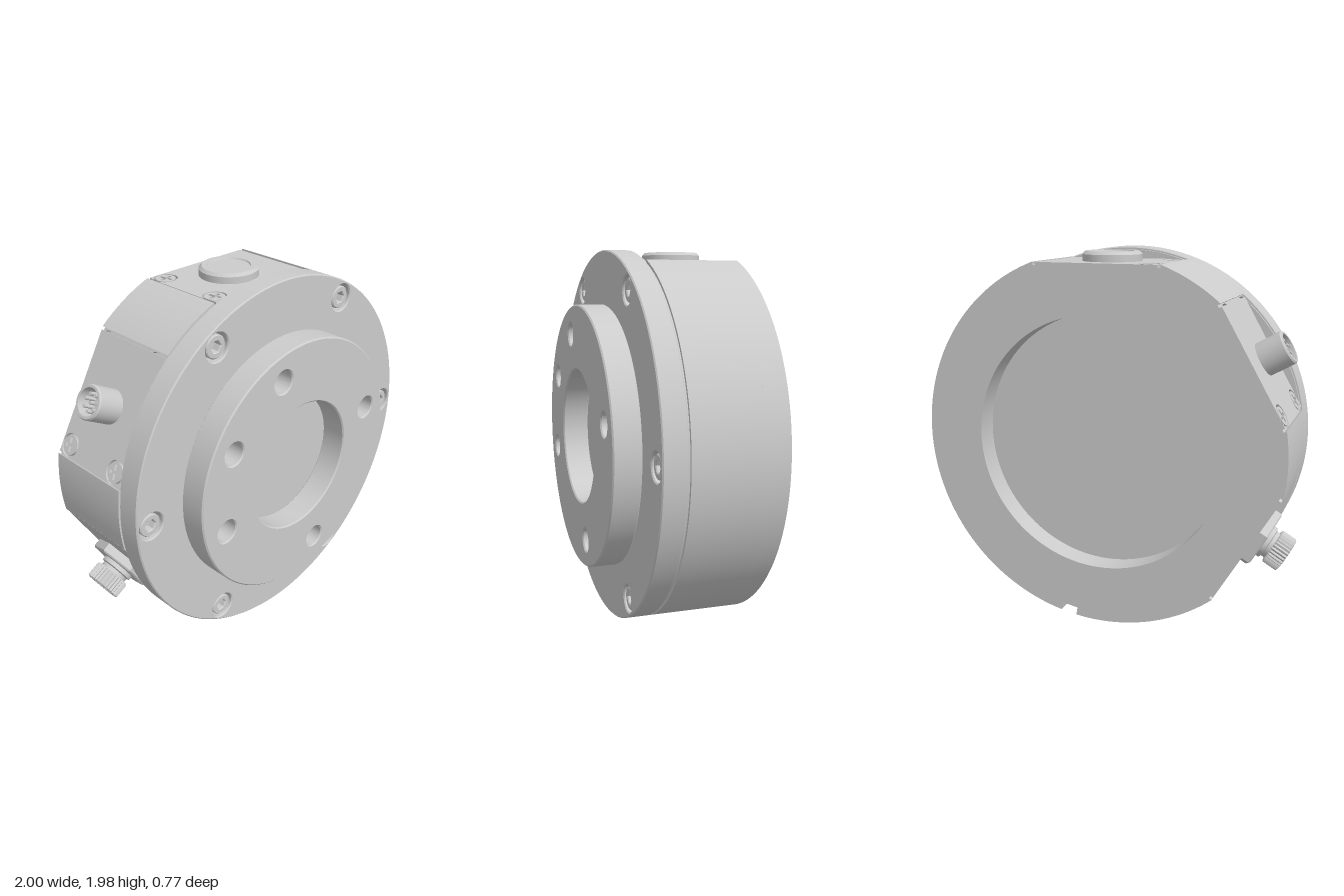
import * as THREE from 'three';
import { toCreasedNormals } from 'three/addons/utils/BufferGeometryUtils.js';

const R = 0.988, FLAT = 0.927, HALF = 0.338, POCKET = 0.912;
const MID_Z = -0.1425; // middle of the side plates
const rad = THREE.MathUtils.degToRad;
const mat = new THREE.MeshStandardMaterial({ color: 0xcccccc, roughness: 0.6, metalness: 0.1 });

function add(parent, name, geo) {
  const mesh = new THREE.Mesh(toCreasedNormals(geo, 0.5), mat);
  mesh.name = name;
  parent.add(mesh);
  return mesh;
}

// circle, hexagon or other regular outline
function circle(x, y, r, Type = THREE.Path) {
  const p = new Type();
  p.absarc(x, y, r, 0, Math.PI * 2, false);
  return p;
}
function polygon(radii, Type = THREE.Path) {
  return new Type(radii.map((r, i) => {
    const a = i / radii.length * Math.PI * 2;
    return new THREE.Vector2(r * Math.cos(a), r * Math.sin(a));
  }));
}

// solid between z0 and z1, with chamfered edges when bevel > 0
function slab(shape, z0, z1, bevel = 0, curveSegments = 24) {
  const geo = new THREE.ExtrudeGeometry(shape, {
    depth: z1 - z0 - 2 * bevel, curveSegments, bevelEnabled: bevel > 0,
    bevelThickness: bevel, bevelSize: bevel, bevelOffset: -bevel, bevelSegments: 1,
  });
  return geo.translate(0, 0, z0 + bevel);
}
function turned(profile, segments = 48) {
  const pts = profile.map(([r, h]) => new THREE.Vector2(r, h));
  return new THREE.LatheGeometry(pts, segments).rotateX(Math.PI / 2);
}

// housing outline: round with three plate pockets and, optionally, a key slot
function housingShape(slot) {
  const s = new THREE.Shape();
  const h = Math.asin(HALF / R), slotAt = rad(280), sw = slot ? 0.045 / R : 0;
  const point = (a, u, d) => s.lineTo(d * Math.cos(a) - u * Math.sin(a), d * Math.sin(a) + u * Math.cos(a));
  let from = slotAt - Math.PI * 2 + sw;
  for (const deg of [90, 150, 210]) {
    const a = rad(deg);
    s.absarc(0, 0, R, from, a - h, false);
    point(a, -HALF, POCKET);
    point(a, HALF, POCKET);
    from = a + h;
  }
  s.absarc(0, 0, R, from, slotAt - sw, false);
  if (slot) {
    point(slotAt, -0.045, R - 0.045);
    point(slotAt, 0.045, R - 0.045);
  }
  return s;
}

// cross-recess screw, top face at z = 0
function crossScrew(x, y) {
  const g = new THREE.Group();
  g.name = 'plateScrew';
  const a = 0.009, b = 0.037;
  const cross = new THREE.Path([
    [b, -a], [b, a], [a, a], [a, b], [-a, b], [-a, a], [-b, a], [-b, -a],
    [-a, -a], [-a, -b], [a, -b], [a, -a],
  ].map(([px, py]) => new THREE.Vector2(px, py)));
  const head = circle(0, 0, 0.051, THREE.Shape);
  head.holes.push(cross);
  add(g, 'screwHead', slab(head, -0.014, 0)).rotation.z = 0.2;
  g.position.set(x, y, 0);
  return g;
}

// frame on a flat: local z points outward, local y along the main axis
function sideStation(deg) {
  const a = rad(deg), g = new THREE.Group();
  const out = new THREE.Vector3(Math.cos(a), Math.sin(a), 0);
  const axis = new THREE.Vector3(0, 0, 1);
  g.quaternion.setFromRotationMatrix(
    new THREE.Matrix4().makeBasis(new THREE.Vector3().crossVectors(axis, out), axis, out));
  g.position.copy(out).multiplyScalar(FLAT).setZ(MID_Z);
  g.name = 'sidePanel';
  const w = 0.322, l = 0.2425;
  const plate = new THREE.Shape([[-w, -l], [w, -l], [w, l], [-w, l]].map(p => new THREE.Vector2(...p)));
  for (const x of [-0.27, 0.27]) for (const y of [-0.18, 0.18]) {
    plate.holes.push(circle(x, y, 0.061));
    g.add(crossScrew(x, y));
  }
  add(g, 'coverPlate', slab(plate, POCKET - FLAT, 0));
  return g;
}

export function createModel() {
  const model = new THREE.Group();
  model.name = 'flangedSensor';
  const unit = new THREE.Group();
  unit.name = 'sensorUnit';
  unit.position.set(0.012, R, 0);
  model.add(unit);

  // housing with a round recess in the back
  const ring = housingShape(true);
  ring.holes.push(circle(0, 0, 0.675));
  add(unit, 'housingBackRing', slab(ring, -0.385, -0.26, 0, 64));
  add(unit, 'housing', slab(housingShape(false), -0.26, 0.105, 0, 64));
  add(unit, 'grooveCollar', slab(circle(0, 0, 0.974, THREE.Shape), 0.1, 0.12, 0, 96));

  // front flange with six countersunk socket bolts
  const flange = circle(0, 0, R, THREE.Shape);
  for (let i = 0; i < 6; i++) {
    const a = i * Math.PI / 3, x = 0.899 * Math.cos(a), y = 0.899 * Math.sin(a);
    flange.holes.push(circle(x, y, 0.072));
    const bolt = new THREE.Group();
    bolt.name = 'flangeBolt';
    bolt.position.set(x, y, 0);
    const head = circle(0, 0, 0.06, THREE.Shape);
    head.holes.push(polygon(Array(6).fill(0.031)));
    add(bolt, 'boltHead', slab(head, 0.18, 0.232, 0.005));
    add(bolt, 'boltShank', slab(circle(0, 0, 0.06, THREE.Shape), 0.115, 0.19));
    unit.add(bolt);
  }
  add(unit, 'flange', slab(flange, 0.114, 0.24, 0.006, 96));

  // raised hub with centre bore, four mounting holes and a dowel hole
  const hub = circle(0, 0, 0.705, THREE.Shape);
  hub.holes.push(circle(0, 0, 0.36));
  for (const deg of [15, 105, 150, 195, 285]) {
    const a = rad(deg);
    hub.holes.push(circle(0.562 * Math.cos(a), 0.562 * Math.sin(a), 0.062));
  }
  add(unit, 'hub', slab(hub, 0.238, 0.385, 0.007, 80));

  // top panel with a round cap
  const top = sideStation(90);
  add(top, 'roundCap', turned([[0.155, -0.005], [0.155, 0.035], [0.14, 0.05], [0.112, 0.05],
    [0.108, 0.043], [0, 0.043]]));
  unit.add(top);

  // upper panel with an open pin connector
  const upper = sideStation(150);
  add(upper, 'connectorBarrel', turned([[0.088, -0.005], [0.088, 0.135], [0.082, 0.143],
    [0.07, 0.143], [0.07, 0.07], [0, 0.07]], 40));
  for (let i = 0; i < 8; i++) {
    const a = i / 7 * Math.PI * 2, r = i < 7 ? 0.044 : 0;
    const pin = new THREE.CylinderGeometry(0.009, 0.009, 0.06, 10).rotateX(Math.PI / 2);
    add(upper, 'contactPin', pin).position.set(r * Math.cos(a), r * Math.sin(a), 0.1);
  }
  add(upper, 'connectorKey', new THREE.BoxGeometry(0.016, 0.014, 0.07)).position.set(0, 0.064, 0.1);
  unit.add(upper);

  // lower panel with a hex nut and a knurled connector
  const lower = sideStation(210);
  add(lower, 'hexNut', slab(polygon(Array(6).fill(0.175), THREE.Shape), -0.005, 0.052, 0.008));
  add(lower, 'connectorNeck', turned([[0.09, 0.04], [0.09, 0.075], [0.076, 0.08], [0.076, 0.13]], 40));
  const knurl = polygon(Array.from({ length: 64 }, (_, i) => i % 2 ? 0.097 : 0.09), THREE.Shape);
  knurl.holes.push(circle(0, 0, 0.06));
  add(lower, 'knurledRing', slab(knurl, 0.1, 0.188, 0.006));
  add(lower, 'connectorInsert', slab(circle(0, 0, 0.062, THREE.Shape), 0.1, 0.172));
  add(lower, 'connectorSlotBar', new THREE.BoxGeometry(0.08, 0.016, 0.02)).position.z = 0.176;
  unit.add(lower);

  return model;
}
